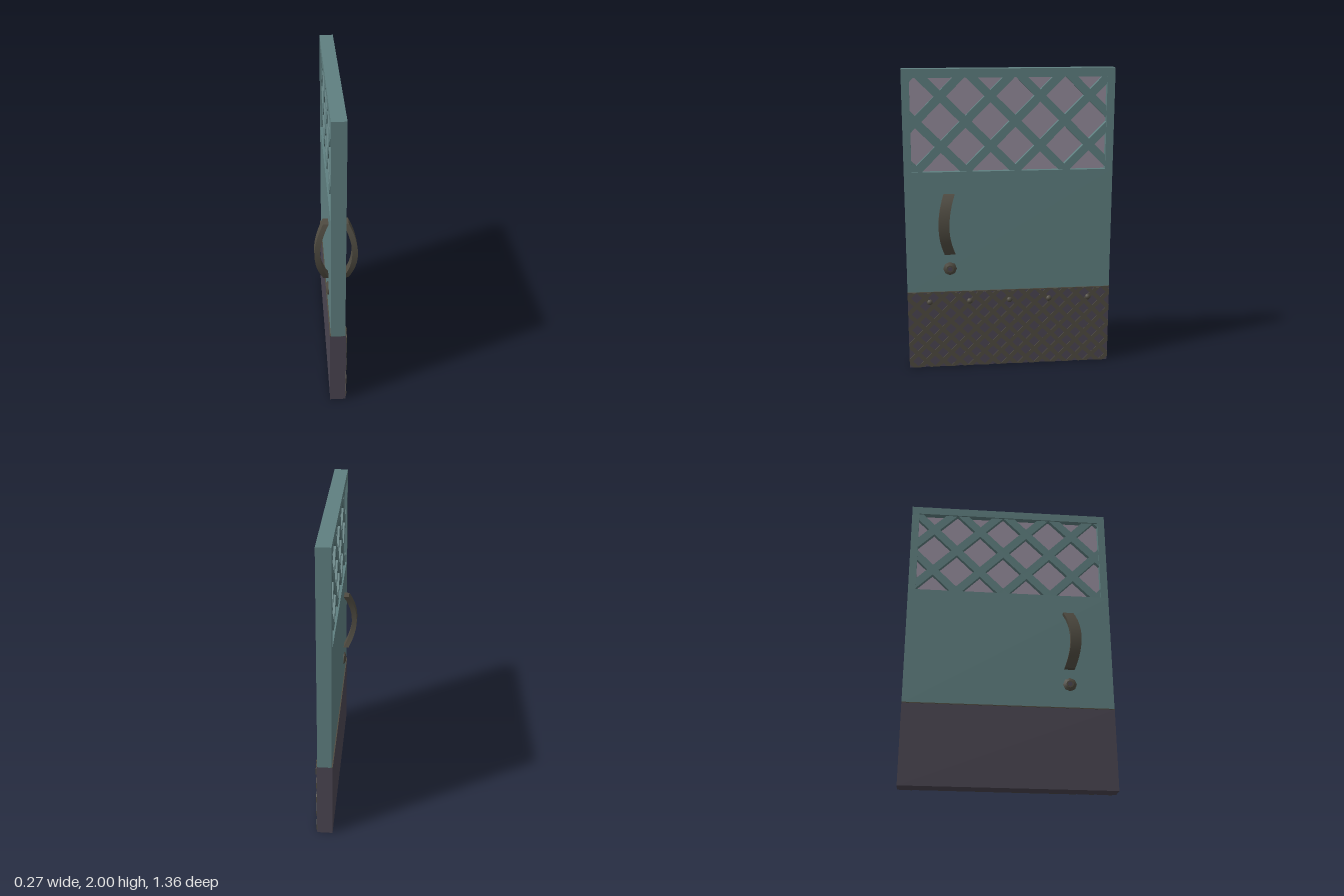
import * as THREE from 'three';

const mat = (name, color) => {
  const m = new THREE.MeshStandardMaterial({ color });
  m.name = name;
  return m;
};

export function createModel() {
  const teal = mat('teal paint', 0x5f7f80);
  const mauve = mat('mauve glass', 0x958c9c);
  const plum = mat('dark plum metal', 0x4a4551);
  const bronze = mat('dark bronze', 0x4f4b41);
  const door = new THREE.Group();
  door.name = 'door';

  const add = (name, geo, material, parent = door) => {
    const mesh = new THREE.Mesh(geo, material);
    mesh.name = name;
    parent.add(mesh);
    return mesh;
  };
  // box given by its limits on each axis
  const box = (name, material, x0, x1, y0, y1, z0, z1) => {
    const geo = new THREE.BoxGeometry(x1 - x0, y1 - y0, z1 - z0);
    geo.translate((x0 + x1) / 2, (y0 + y1) / 2, (z0 + z1) / 2);
    return add(name, geo, material);
  };

  // keeps the part of a polygon where sign * p[axis] <= sign * limit
  const clip = (poly, axis, limit, sign) => {
    const out = [];
    poly.forEach((a, i) => {
      const b = poly[(i + 1) % poly.length];
      const da = sign * (limit - a[axis]), db = sign * (limit - b[axis]);
      if (da >= 0) out.push(a);
      if (da * db < 0) out.push(a.clone().lerp(b, da / (da - db)));
    });
    return out;
  };

  // crossed 45 degree bars around a crossing at (u, y), cut to a rectangle; u runs along -z
  const lattice = (name, material, half, y0, y1, cu, cy, pitch, width, x0, x1) => {
    const group = new THREE.Group();
    group.name = name;
    const w = width / Math.SQRT2, L = 3;
    for (const dir of [1, -1]) {
      for (let i = -30; i <= 30; i++) {
        const u = cu + i * pitch;
        let poly = [[u - w - L, cy - dir * L], [u + w - L, cy - dir * L], [u + w + L, cy + dir * L], [u - w + L, cy + dir * L]]
          .map((p) => new THREE.Vector2(...p));
        poly = clip(poly, 'x', half, 1);
        poly = clip(poly, 'x', -half, -1);
        poly = clip(poly, 'y', y1, 1);
        poly = clip(poly, 'y', y0, -1);
        if (poly.length < 3) continue;
        const geo = new THREE.ExtrudeGeometry(new THREE.Shape(poly), { depth: x1 - x0, bevelEnabled: false });
        geo.rotateY(Math.PI / 2).translate(x0, 0, 0);
        add('latticeBar', geo, material, group);
      }
    }
    door.add(group);
  };

  // frame and panels
  box('topRail', teal, -0.045, 0.045, 1.945, 2, -0.68, 0.68);
  box('frontPost', teal, -0.045, 0.045, 1.345, 1.945, 0.63, 0.68);
  box('backPost', teal, -0.045, 0.045, 1.345, 1.945, -0.68, -0.63);
  box('middlePanel', teal, -0.045, 0.045, 0.53, 1.345, -0.68, 0.68);
  box('windowPane', mauve, -0.004, 0.004, 1.345, 1.945, -0.63, 0.63);
  lattice('windowLattice', teal, 0.632, 1.345, 1.945, 0.04, 1.667, 0.32, 0.054, -0.035, 0.035);

  // kick plate with raised mesh on its +x face
  box('kickPlate', plum, -0.05, 0.05, 0, 0.53, -0.68, 0.68);
  box('kickPlateCap', bronze, -0.052, 0.053, 0.53, 0.536, -0.68, 0.68);
  lattice('kickPlateMesh', bronze, 0.68, 0, 0.53, 0, 0.27, 0.113, 0.028, 0.049, 0.055);
  for (let i = -2; i <= 2; i++) {
    const stud = add('stud', new THREE.SphereGeometry(0.02, 10, 8), bronze);
    stud.position.set(0.05, 0.465, i * 0.267);
    stud.scale.x = 0.9;
  }

  // bowed handles and lock knobs on both faces
  for (const s of [1, -1]) {
    const geo = new THREE.BoxGeometry(0.035, 0.4, 0.07, 1, 12, 1);
    const p = geo.attributes.position;
    for (let i = 0; i < p.count; i++) {
      const bow = 1 - (p.getY(i) / 0.2) ** 2;
      p.setX(i, p.getX(i) + s * 0.056 * bow);
      p.setZ(i, p.getZ(i) + 0.038 * bow);
    }
    geo.computeVertexNormals();
    add('handle', geo, bronze).position.set(s * 0.061, 1, 0.394);

    const knob = new THREE.Group();
    knob.name = 'lockKnob';
    add('knobBase', new THREE.CylinderGeometry(0.045, 0.045, 0.01, 8).toNonIndexed(), bronze, knob).position.y = 0.045;
    add('knobFace', new THREE.CylinderGeometry(0.025, 0.045, 0.01, 8), bronze, knob).position.y = 0.055;
    add('knobCentre', new THREE.CylinderGeometry(0.015, 0.015, 0.002, 8), plum, knob).position.y = 0.061;
    knob.rotation.z = -s * Math.PI / 2;
    knob.position.set(0, 0.695, 0.395);
    door.add(knob);
  }
  return door;
}
